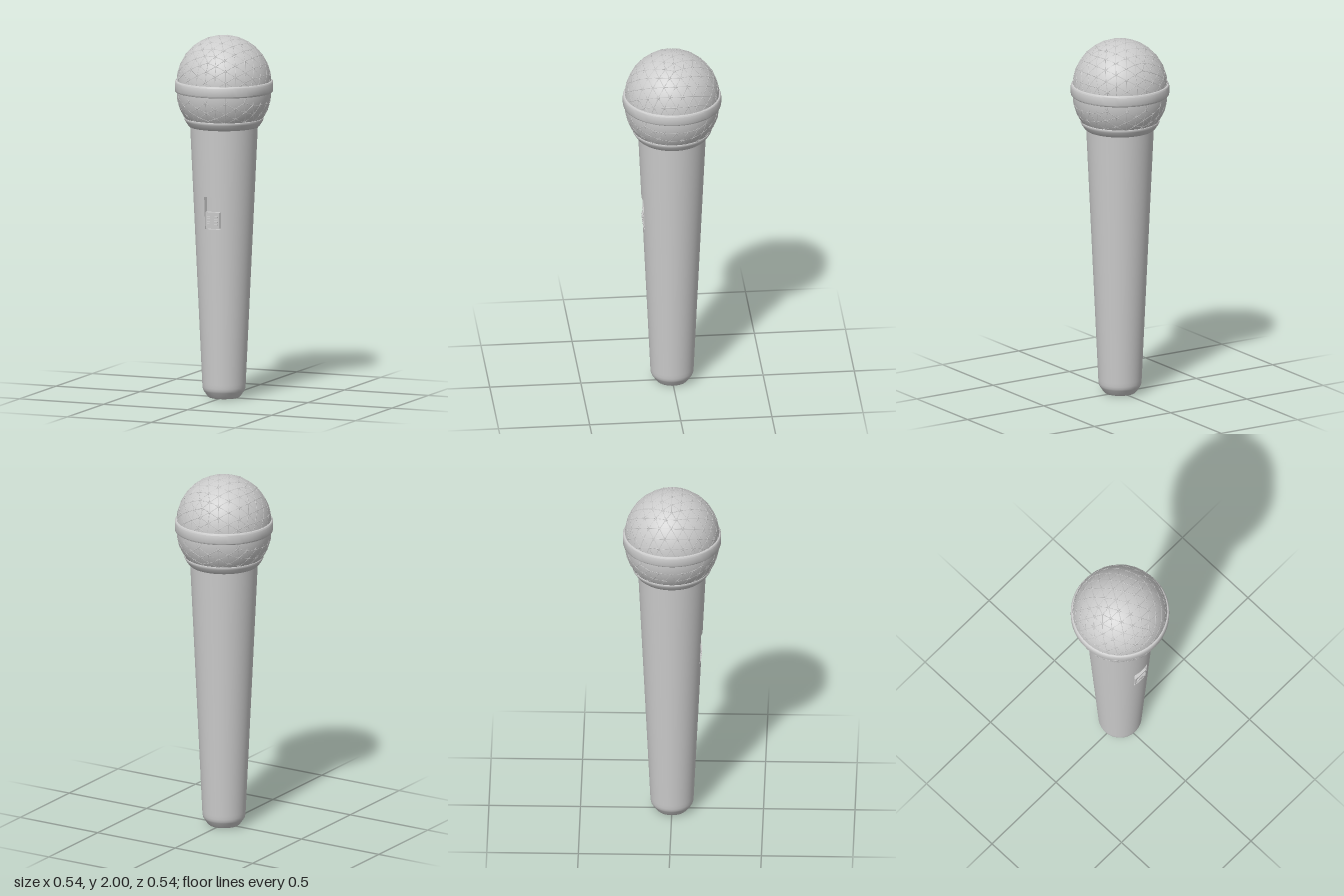
import * as THREE from 'three';
import { mergeGeometries, toCreasedNormals } from 'three/addons/utils/BufferGeometryUtils.js';

const SEGMENTS = 64;
const STEP = (Math.PI * 2) / SEGMENTS;
const GAP = 3 * STEP;                     // half angle of the switch pocket
const POCKET_LOW = 0.948, POCKET_HIGH = 1.126, POCKET_DEPTH = 0.022;
const GRILLE_RADIUS = 0.258, UPPER_Y = 1.74, LOWER_Y = 1.69;

const material = new THREE.MeshStandardMaterial({ color: 0xcccccc });
const thinMaterial = new THREE.MeshStandardMaterial({ color: 0xcccccc, side: THREE.DoubleSide });

// Radius of the tapered handle at a height
const handleRadius = (y) => 0.118 + (0.067 * (y - 0.06)) / 1.44;

function add(parent, name, geometry, mat = material) {
  const mesh = new THREE.Mesh(geometry, mat);
  mesh.name = name;
  parent.add(mesh);
  return mesh;
}

function lathe(points, segments = SEGMENTS, start = 0, length = Math.PI * 2) {
  return new THREE.LatheGeometry(points.map(([r, y]) => new THREE.Vector2(r, y)), segments, start, length);
}

// Handle in three stacked shells, the middle one open at the front for the switch
function buildHandle() {
  const handle = new THREE.Group();
  handle.name = 'handle';
  const at = (y) => [handleRadius(y), y];
  const base = [[0, 0], [0.078, 0], [0.084, 0.002], [0.092, 0.01], [0.11, 0.036], [0.115, 0.046], at(0.06), at(0.08)];
  add(handle, 'lowerHandle', lathe([...base, at(0.5), at(POCKET_LOW)]));
  add(handle, 'middleHandle', lathe([at(POCKET_LOW), at(POCKET_HIGH)], SEGMENTS - 6, GAP, Math.PI * 2 - 2 * GAP));
  add(handle, 'upperHandle', lathe([at(POCKET_HIGH), at(1.51)]));
  return handle;
}

// Sunken pocket with a ribbed sliding switch
function buildSwitch() {
  const group = new THREE.Group();
  group.name = 'switch';
  const low = handleRadius(POCKET_LOW), high = handleRadius(POCKET_HIGH);
  const profile = [
    [low, POCKET_LOW], [low - POCKET_DEPTH, POCKET_LOW],
    [high - POCKET_DEPTH, POCKET_HIGH], [high, POCKET_HIGH],
  ];
  ['pocketBottom', 'pocketFloor', 'pocketTop'].forEach((name, i) =>
    add(group, name, lathe([profile[i], profile[i + 1]], 6, -GAP, 2 * GAP)));
  const wall = new THREE.ShapeGeometry(new THREE.Shape(profile.map(([r, y]) => new THREE.Vector2(r, y))));
  for (const side of [-1, 1]) {
    add(group, side > 0 ? 'pocketLeftWall' : 'pocketRightWall', wall, thinMaterial).rotation.y = side * GAP - Math.PI / 2;
  }

  const slider = new THREE.Group();
  slider.name = 'slider';
  slider.position.set(0, 0.998, handleRadius(0.998));
  slider.rotation.x = 0.046;
  const block = add(slider, 'sliderBlock', new THREE.BoxGeometry(0.082, 0.088, 0.024));
  block.position.z = -0.016;
  for (let i = 0; i < 4; i++) {
    const rib = add(slider, 'sliderRib', new THREE.BoxGeometry(0.062, 0.007, 0.008));
    rib.position.set(0, -0.023 + i * 0.014, -0.002);
  }
  group.add(slider);
  return group;
}

// Ball-shaped core: two domes split by the band
function buildGrilleCore() {
  const points = [];
  const count = 20, lowest = -0.62;
  for (let i = 0; i <= count; i++) {
    const a = lowest * (1 - i / count);
    points.push([GRILLE_RADIUS * Math.cos(a), LOWER_Y + GRILLE_RADIUS * Math.sin(a)]);
  }
  for (let i = 0; i <= 28; i++) {
    const a = (i / 28) * Math.PI / 2;
    points.push([GRILLE_RADIUS * Math.cos(a), UPPER_Y + GRILLE_RADIUS * Math.sin(a)]);
  }
  return lathe(points);
}

// Triangular wire mesh following the edges of a subdivided icosahedron
function buildWires() {
  const pos = new THREE.IcosahedronGeometry(GRILLE_RADIUS, 4).getAttribute('position');
  const up = new THREE.Vector3(0, 1, 0);
  const corner = (i) => {
    const p = new THREE.Vector3().fromBufferAttribute(pos, i);
    p.y += p.y > -1e-5 ? UPPER_Y : LOWER_Y;
    return p;
  };
  const key = (p) => p.toArray().map((v) => Math.round(v * 1e4)).join();
  const seen = new Set();
  const wires = [];
  for (let i = 0; i < pos.count; i++) {
    const a = corner(i), b = corner(i % 3 === 2 ? i - 2 : i + 1);
    const id = [key(a), key(b)].sort().join('|');
    if (seen.has(id) || Math.min(a.y, b.y) < 1.51) continue;
    seen.add(id);
    const dir = b.clone().sub(a);
    const wire = new THREE.CylinderGeometry(0.0026, 0.0026, dir.length(), 5, 1, true);
    const turn = new THREE.Quaternion().setFromUnitVectors(up, dir.normalize());
    wire.applyQuaternion(turn);
    wire.translate((a.x + b.x) / 2, (a.y + b.y) / 2, (a.z + b.z) / 2);
    wires.push(wire);
  }
  return mergeGeometries(wires);
}

export function createModel() {
  const model = new THREE.Group();
  model.name = 'microphone';
  model.add(buildHandle(), buildSwitch());

  // Collar between handle and grille
  add(model, 'collar', toCreasedNormals(lathe([
    [0.178, 1.496], [0.188, 1.497], [0.196, 1.504], [0.212, 1.528],
    [0.216, 1.537], [0.215, 1.543], [0.21, 1.546], [0.195, 1.546],
  ]), 0.7));

  const grille = new THREE.Group();
  grille.name = 'grille';
  add(grille, 'grilleCore', buildGrilleCore());
  add(grille, 'grilleWires', buildWires());
  model.add(grille);

  // Band around the widest part
  add(model, 'grilleBand', toCreasedNormals(lathe([
    [0.25, 1.689], [0.263, 1.689], [0.267, 1.692], [0.269, 1.698],
    [0.269, 1.742], [0.267, 1.748], [0.263, 1.751], [0.25, 1.751],
  ]), 0.7));
  return model;
}
